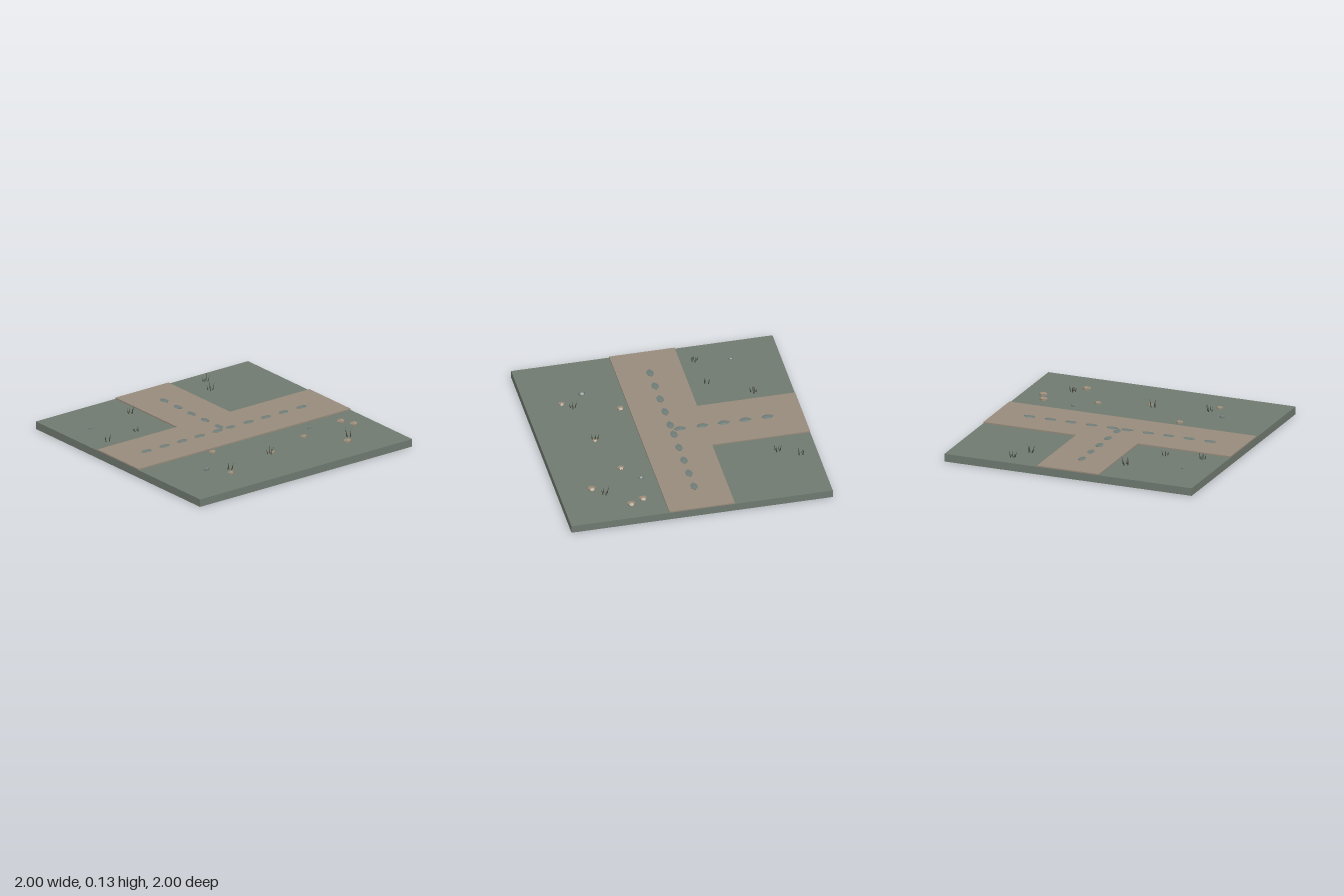
import * as THREE from 'three';

const mat = (name, color) => {
  const m = new THREE.MeshStandardMaterial({ color });
  m.name = name;
  return m;
};

export function createModel() {
  const ground = mat('mossGreen', 0x6f7a70);
  const dirt = mat('packedDirt', 0x978b7b);
  const slate = mat('slateGrey', 0x6f7c78);
  const tan = mat('tanStone', 0x9c8c79);
  const dry = mat('darkGrass', 0x45463a);

  const model = new THREE.Group();
  model.name = 'roadJunctionTile';
  const add = (name, geo, material, parent = model) => {
    const mesh = new THREE.Mesh(geo, material);
    mesh.name = name;
    parent.add(mesh);
    return mesh;
  };

  // Ground slab
  add('groundSlab', new THREE.BoxGeometry(2, 0.06, 2), ground).position.y = 0.03;

  // T-shaped road, drawn with shape y = -z and extruded upward
  const road = new THREE.Shape([
    [-1, -0.25], [1, -0.25], [1, 0.25], [0.25, 0.25],
    [0.25, 1], [-0.25, 1], [-0.25, 0.25], [-1, 0.25],
  ].map(([x, y]) => new THREE.Vector2(x, y)));
  const roadGeo = new THREE.ExtrudeGeometry(road, { depth: 0.01, bevelEnabled: false });
  roadGeo.rotateX(-Math.PI / 2);
  add('road', roadGeo, dirt).position.y = 0.06;

  // Faceted pebble, normalised so its half extent is 1 on every axis
  const pebble = new THREE.DodecahedronGeometry(1);
  pebble.scale(1 / 0.934, 1 / 0.934, 1 / 0.934);

  // Flat stones marking the road centre lines
  const marker = (x, z, turn) => {
    const m = add('laneStone', pebble, slate);
    m.position.set(x, 0.07, z);
    m.scale.set(0.026, 0.006, 0.048);
    m.rotation.y = turn;
  };
  for (const d of [0.06, 0.23, 0.395, 0.56, 0.73]) {
    marker(d, 0, Math.PI / 2);
    marker(-d, 0, Math.PI / 2);
    marker(0, -d, 0);
  }

  // Loose stones: x, z, half width, material
  for (const [x, z, r, m] of [
    [-0.35, 0.315, 0.026, tan], [-0.6, 0.555, 0.026, slate], [-0.5, 0.73, 0.023, tan],
    [0.38, 0.48, 0.025, tan], [0.525, 0.36, 0.019, slate], [0.79, 0.405, 0.03, tan],
    [0.835, 0.505, 0.03, tan], [0.585, 0.75, 0.03, tan], [0, 0.59, 0.02, tan],
    [-0.775, -0.625, 0.017, slate],
  ]) {
    const s = add('looseStone', pebble, m);
    s.position.set(x, 0.07, z);
    s.scale.set(r, 0.4 * r + 0.003, r);
  }

  // Grass tufts of thin leaning blades: x, z, blade height
  const blade = new THREE.ConeGeometry(0.005, 1, 4);
  blade.translate(0, 0.5, 0);
  [
    [-0.34, -0.7, 0.07], [-0.82, -0.36, 0.06], [-0.53, -0.39, 0.045], [0.5, -0.87, 0.065],
    [0.42, -0.71, 0.07], [-0.02, 0.585, 0.07], [-0.45, 0.655, 0.06], [0.66, 0.665, 0.065],
  ].forEach(([x, z, h], t) => {
    const tuft = new THREE.Group();
    tuft.name = 'grassTuft';
    tuft.position.set(x, 0.06, z);
    model.add(tuft);
    for (let i = 0; i < 4; i++) {
      const a = t * 1.3 + i * 1.65;
      const b = add('grassBlade', blade, dry, tuft);
      b.position.set(Math.cos(a) * 0.018, 0, Math.sin(a) * 0.018);
      b.scale.y = h * (1 - 0.15 * ((i + t) % 4));
      b.rotation.set(Math.sin(a) * 0.22, 0, -Math.cos(a) * 0.22);
    }
  });

  return model;
}
